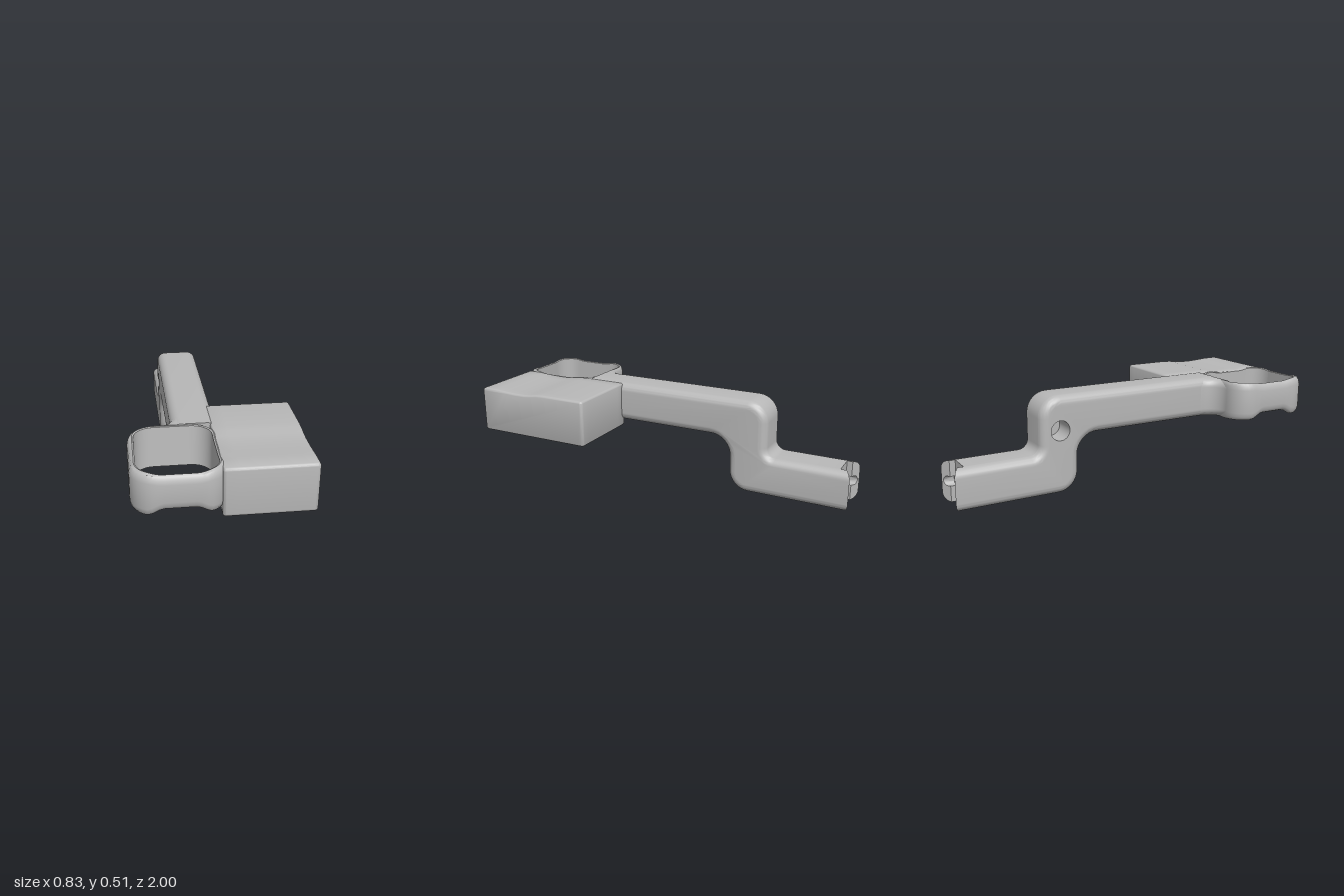
import * as THREE from 'three';
import { mergeGeometries, toCreasedNormals } from 'three/addons/utils/BufferGeometryUtils.js';

const grey = new THREE.MeshStandardMaterial({ color: 0xb8b8b8 });
grey.name = 'plain grey';

// Closed 2D outline from corners [a, b, radius]; corners without a radius stay sharp.
function outline(corners, steps = 8) {
  const pts = [];
  corners.forEach(([a, b, r], i) => {
    if (r === undefined) { pts.push([a, b]); return; }
    const p = new THREE.Vector2(a, b);
    const prev = corners[(i + corners.length - 1) % corners.length];
    const next = corners[(i + 1) % corners.length];
    const into = p.clone().sub(new THREE.Vector2(prev[0], prev[1])).normalize();
    const out = new THREE.Vector2(next[0], next[1]).sub(p).normalize();
    for (let k = 0; k <= steps; k++) {
      const t = (k / steps) * Math.PI / 2;
      const f = r * (1 - Math.cos(t)), g = r * (1 - Math.sin(t));
      pts.push([a + out.x * f - into.x * g, b + out.y * f - into.y * g]);
    }
  });
  return pts;
}

// Skin between closed loops of [x, y, z] points.
function loft(loops, wrap = false) {
  const pos = [];
  const count = wrap ? loops.length : loops.length - 1;
  for (let i = 0; i < count; i++) {
    const A = loops[i], B = loops[(i + 1) % loops.length];
    for (let j = 0; j < A.length; j++) {
      const k = (j + 1) % A.length;
      pos.push(...A[j], ...A[k], ...B[k], ...A[j], ...B[k], ...B[j]);
    }
  }
  const g = new THREE.BufferGeometry();
  g.setAttribute('position', new THREE.Float32BufferAttribute(pos, 3));
  return g;
}

// Flat cap facing side (+1 / -1) along x (outline in -z, y) or along y (outline in x, -z).
function cap(pts, axis, at, side, hole) {
  const flip = ([a, b]) => axis === 'x' ? new THREE.Vector2(side * a, b) : new THREE.Vector2(a, side * b);
  const shape = new THREE.Shape(pts.map(flip));
  if (hole) shape.holes.push(new THREE.Path(hole.map(flip)));
  const g = new THREE.ShapeGeometry(shape).toNonIndexed();
  if (axis === 'x') g.rotateY(side * Math.PI / 2).translate(at, 0, 0);
  else g.rotateX(-side * Math.PI / 2).translate(0, at, 0);
  g.deleteAttribute('uv');
  g.deleteAttribute('normal');
  return g;
}

function part(name, ...geos) {
  const mesh = new THREE.Mesh(toCreasedNormals(mergeGeometries(geos), 0.6), grey);
  mesh.name = name;
  return mesh;
}

const alongX = (pts, x) => pts.map(([u, y]) => [x, y, -u]);
const alongY = (pts, y) => pts.map(([x, v]) => [x, y, -v]);

// Quarter-round edge: [distance from the end, inset], from the end inwards.
function edge(R, steps) {
  return Array.from({ length: steps + 1 }, (_, i) => {
    const t = (i / steps) * Math.PI / 2;
    return [R * (1 - Math.cos(t)), R * (1 - Math.sin(t))];
  });
}

// Cranked arm with a notched rear end, slotted lips and a blind hole in its right side
function makeArm() {
  const R = 0.045, x0 = -0.2, x1 = 0.017, front = -0.525;
  const profile = (d, cut, h, s) => {
    const u = 1 - cut, yc = 0.1075;
    return outline([
      [front, 0.298 + d], [0.34 + d, 0.298 + d, 0.11 + d], [0.34 + d, d, 0.11 - d],
      [u, d], [u, yc - h], [u - s, yc - h], [u - s, yc + h], [u, yc + h], [u, 0.215 - d],
      [0.55 - d, 0.215 - d, 0.05 + d], [0.55 - d, 0.512 - d, 0.11 - d], [front, 0.512 - d],
    ]);
  };
  const half = edge(R, 10).map(([dx, d]) => {
    const t = dx / R, cut = 0.03 * t;
    const h = t < 0.2 ? 0 : 0.025 * Math.min(1, Math.sqrt((t - 0.2) / 0.3));
    return [dx, profile(d, cut, h, h ? 0.06 - cut : 0)];
  });
  half.push([R, profile(0, 0.06, 0.025, 0)]);
  const loops = [
    ...half.map(([dx, p]) => alongX(p, x0 + dx)),
    ...half.slice().reverse().map(([dx, p]) => alongX(p, x1 - dx)),
  ];
  const circle = Array.from({ length: 32 }, (_, i) => {
    const a = -i / 32 * Math.PI * 2;
    return [0.445 + 0.052 * Math.cos(a), 0.335 + 0.052 * Math.sin(a)];
  });
  const floor = -0.08;
  return part('crankedArm', loft(loops),
    cap(half[0][1], 'x', x0, -1, circle), cap(half[0][1], 'x', x1, 1),
    loft([alongX(circle, x0), alongX(circle, floor)]), cap(circle, 'x', floor, -1));
}

// Block with a gently dipped top and a shallow recess underneath
function makeBlock() {
  const R = 0.016, x0 = -0.015, x1 = 0.414, top = 0.51;
  const profile = (d, s) => outline([
    [-0.97 + d, 0.262 + d, R - d], [-0.925, 0.262 + d], [-0.925, 0.262 + d + s],
    [-0.345, 0.262 + d + s], [-0.345, 0.262 + d], [-0.315 - d, 0.262 + d, R - d],
    [-0.315 - d, top - d, R - d],
    ...[[0.57, 0], [0.61, 0.003], [0.65, 0.009], [0.69, 0.013], [0.76, 0.013], [0.82, 0.01], [0.88, 0.006]]
      .map(([z, dip]) => [-z, top - dip - d]),
    [-0.97 + d, top - 0.005 - d, R - d],
  ], 5);
  const rim = edge(R, 5);
  const loops = [
    ...rim.map(([dx, d]) => alongX(profile(d, 0), x0 + dx)),
    ...[[0.06, 0], [0.06, 0.05], [0.355, 0.05], [0.355, 0]].map(([x, s]) => alongX(profile(0, s), x)),
    ...rim.slice().reverse().map(([dx, d]) => alongX(profile(d, 0), x1 - dx)),
  ];
  return part('recessedBlock', loft(loops),
    cap(profile(R, 0), 'x', x0, -1), cap(profile(R, 0), 'x', x1, 1));
}

// Thin square loop with rounded corners, scalloped below and dipped on top
function makeRing() {
  const cx = -0.2, cz = 0.757;
  const plan = (inset, back) => {
    const a = cx - 0.216 + inset, b = cx + 0.213 - inset, f = -1 + inset, r = 0.115 - inset * 0.6;
    const s = [-0.09, -0.07, -0.035, 0, 0.035, 0.07, 0.09];
    return outline([
      [a, f, r], ...s.map(t => [cx + t, f]), [b, f, r], ...s.map(t => [b, -cz + t]),
      [b, -back, r], ...s.map(t => [cx - t, -back]), [a, -back, r], ...s.map(t => [a, -cz - t]),
    ]);
  };
  // end: -1 measures from the underside, +1 from the top
  const level = (inset, back, end, off) => plan(inset, back).map(([x, v]) => {
    const dx = Math.abs(x - cx), dz = -v - cz;
    const backSide = dz < 0 && -dz > dx;
    const k = backSide ? 0 : 1 - THREE.MathUtils.smoothstep(Math.min(dx, Math.abs(dz)), 0.07, 0.15);
    return [x, end < 0 ? 0.3 + 0.032 * k + off : 0.507 - 0.01 * k - off, -v];
  });
  const rim = [[0.024, 0], [0.012, 0.006], [0.004, 0.02], [0, 0.04]];
  const loops = [
    ...rim.map(([i, o]) => level(i, 0.515 + i * 0.4, -1, o)),
    ...rim.slice().reverse().map(([i, o]) => level(i, 0.515 + i * 0.4, 1, o)),
    level(0.031, 0.53, 1, 0.004),
    level(0.031, 0.55, -1, 0.004),
  ];
  return part('squareLoop', loft(loops, true));
}

// Concave web blending the arm into the loop
function makeWeb() {
  const R = 0.045, y0 = 0.298, y1 = 0.51;
  const plan = d => {
    const pts = [[-0.3, -0.527], [-0.1, -0.527], [-0.1, -0.415]];
    for (let i = 0; i <= 12; i++) {
      const a = (i / 12) * Math.PI / 2, r = 0.1 + d;
      pts.push([-0.3 + r * Math.cos(a), -Math.min(0.525, 0.415 + r * Math.sin(a))]);
    }
    return pts;
  };
  const rim = edge(R, 8);
  return part('blendWeb', loft([
    ...rim.map(([o, d]) => alongY(plan(d), y0 + o)),
    ...rim.slice().reverse().map(([o, d]) => alongY(plan(d), y1 - o)),
  ]), cap(plan(R), 'y', y0, -1), cap(plan(R), 'y', y1, 1));
}

export function createModel() {
  const model = new THREE.Group();
  model.name = 'bracketArm';
  model.add(makeArm(), makeBlock(), makeRing(), makeWeb());
  return model;
}
